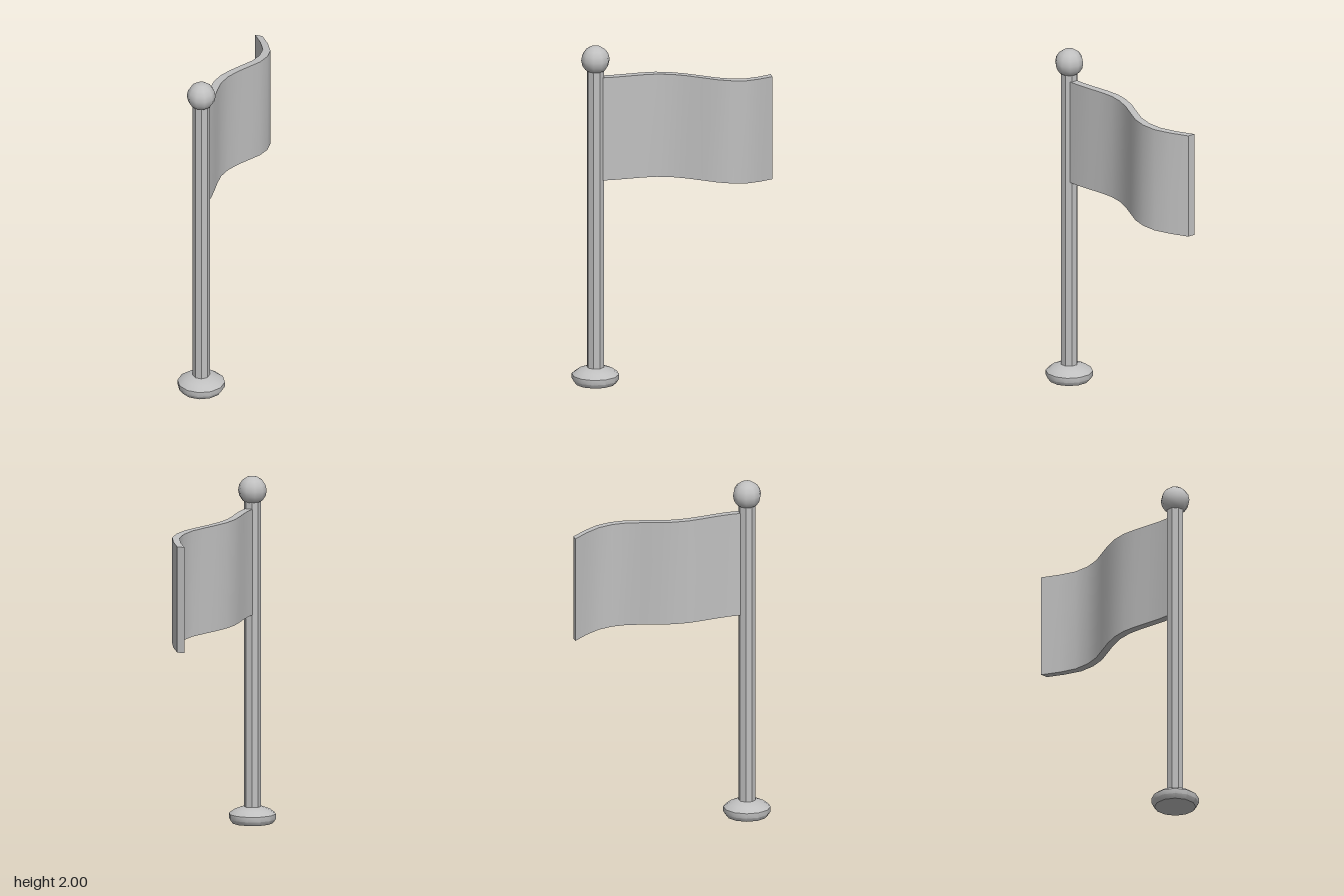
import * as THREE from 'three';
import { toCreasedNormals } from 'three/addons/utils/BufferGeometryUtils.js';

export function createModel() {
  const group = new THREE.Group();
  const grey = new THREE.MeshStandardMaterial({ color: 0xc0c0c0 });
  grey.name = 'grey';
  const poleZ = 0.445;

  const add = (name, geometry, y, z) => {
    const mesh = new THREE.Mesh(geometry, grey);
    mesh.name = name;
    mesh.position.set(0, y, z);
    group.add(mesh);
    return mesh;
  };

  // Domed twelve-sided foot
  const profile = [[0, 0], [0.118, 0], [0.135, 0.024], [0.135, 0.053], [0.102, 0.077], [0.055, 0.094], [0, 0.094]]
    .map(([r, y]) => new THREE.Vector2(r, y));
  add('base', toCreasedNormals(new THREE.LatheGeometry(profile, 12, Math.PI / 12), 0.65), 0, poleZ);

  // Octagonal pole with a flat side facing front
  const pole = new THREE.CylinderGeometry(0.0487, 0.0487, 1.79, 8, 1, false, Math.PI / 8);
  add('pole', toCreasedNormals(pole, 0.3), 0.965, poleZ);

  // Ball on top
  const ball = new THREE.SphereGeometry(0.082, 10, 8);
  ball.rotateY(Math.PI / 2);
  add('finial', ball, 1.918, poleZ);

  // Waving flag: a segmented slab swept sideways, sagging toward its free end
  const wave = [0.003, 0, -0.012, -0.027, -0.036, -0.027, 0, 0.037, 0.073, 0.086, 0.073, 0.026, -0.038];
  const flag = new THREE.BoxGeometry(0.046, 0.61, 1, 1, 1, 12);
  const p = flag.attributes.position;
  for (let i = 0; i < p.count; i++) {
    const t = 0.5 - p.getZ(i);
    p.setX(i, p.getX(i) + wave[Math.round(t * 12)]);
    p.setY(i, p.getY(i) - 0.058 * t * t);
  }
  flag.computeVertexNormals();
  add('flag', flag, 1.511, -0.078);

  return group;
}
